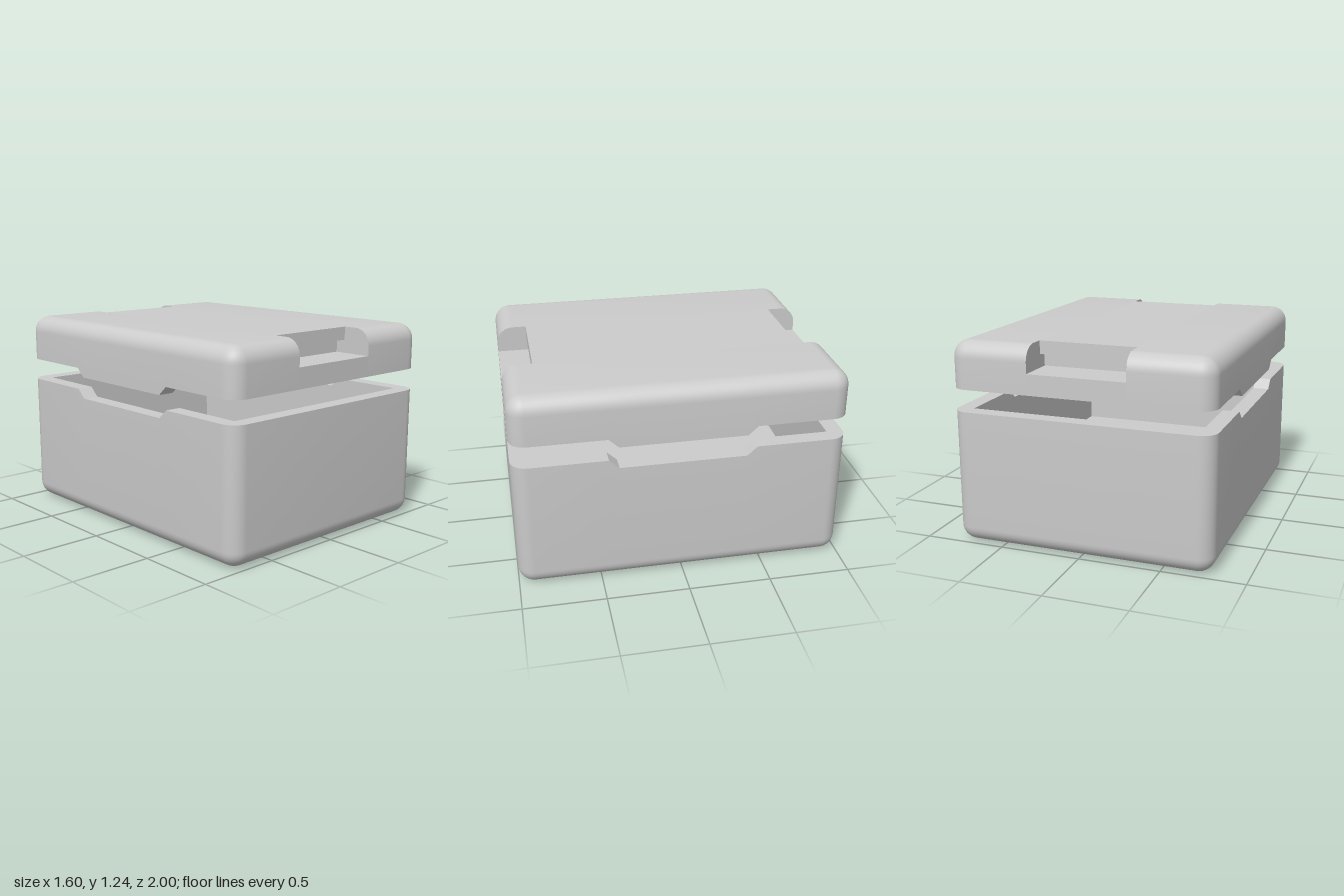
import * as THREE from 'three';
import { toCreasedNormals } from 'three/addons/utils/BufferGeometryUtils.js';

const R = 0.1, CX = 0.7, CZ = 0.9;      // edge radius (also wall thickness) and inner half sizes
const H = 1.24;                          // top of the lid
const NOTCH = 0.3;                       // half width of the latch notches
const material = new THREE.MeshStandardMaterial({ color: 0xcccccc });
const thin = new THREE.MeshStandardMaterial({ color: 0xcccccc, side: THREE.DoubleSide });

// Collects quads, skipping collapsed triangles
function quadBuilder() {
  const pos = [];
  const same = (a, b) => a.every((v, i) => Math.abs(v - b[i]) < 1e-6);
  const tri = (a, b, c) => {
    if (!same(a, b) && !same(b, c) && !same(a, c)) pos.push(...a, ...b, ...c);
  };
  return {
    quad(a, b, c, d, flip) {
      if (flip) [a, b, c, d] = [d, c, b, a];
      tri(a, b, c);
      tri(a, c, d);
    },
    mesh(name) {
      const g = new THREE.BufferGeometry();
      g.setAttribute('position', new THREE.Float32BufferAttribute(pos, 3));
      const m = new THREE.Mesh(toCreasedNormals(g, 0.5), material);
      m.name = name;
      return m;
    },
  };
}

// Half outline from x0 at the front, round the side, to x0 at the back: [x, z, nx, nz]
function halfOutline(x0) {
  const q = [[x0, CZ, 0, 1]];
  for (let i = 0; i <= 10; i++) {
    const a = (i / 10) * Math.PI / 2;
    q.push([CX, CZ, Math.sin(a), Math.cos(a)]);
  }
  q.push([CX, 0.44, 1, 0], [CX, 0.38, 1, 0]);
  return [...q, ...q.map(([x, z, nx, nz]) => [x, -z, nx, -nz]).reverse()];
}

// Open tray with rounded outer edges; rimMid is the rim height in the middle of the sides
function tray(name, { x0, rim, rimMid, floor, upsideDown }) {
  const b = quadBuilder();
  const outline = halfOutline(x0);
  const n = outline.length;
  const rimY = (z) => (Math.abs(z) < 0.4 ? rimMid : rim);
  for (const sx of [1, -1]) {
    const flip = (sx < 0) !== upsideDown;
    const ring = (offset, yAt) => outline.map(([x, z, nx, nz]) => {
      const y = yAt(z);
      return [sx * (x + nx * offset), upsideDown ? H - y : y, z + nz * offset];
    });
    const rings = [];
    for (let k = 0; k <= 10; k++) {
      const a = (k / 10) * Math.PI / 2;
      rings.push(ring(R * Math.sin(a), () => R * (1 - Math.cos(a))));
    }
    rings.push(ring(R, rimY), ring(0, rimY), ring(0, () => floor));
    for (let k = 0; k < rings.length - 1; k++) {
      for (let i = 0; i < n - 1; i++) {
        b.quad(rings[k][i], rings[k][i + 1], rings[k + 1][i + 1], rings[k + 1][i], flip);
      }
    }
    // outer and inner flat panels, joined front to back
    const cap = (p, f) => {
      for (let i = 0; i < n / 2 - 1; i++) b.quad(p[i], p[n - 1 - i], p[n - 2 - i], p[i + 1], f);
    };
    cap(rings[0], flip);
    cap(rings[rings.length - 1], !flip);
  }
  return b.mesh(name);
}

// Middle of the lid between the notch sides: a [z, y] section swept along x
function lidMiddle() {
  const section = [
    [0, H], [0.815, H], [0.815, 1.16], [0.755, 1.16], [0.755, 1.08],
    [1, 1.08], [1, 0.955], [CZ, 0.955], [CZ, 1.06], [0, 1.06],
  ];
  const b = quadBuilder();
  for (const sz of [1, -1]) {
    for (let i = 0; i < section.length - 1; i++) {
      const at = (x, [z, y]) => [x, y, sz * z];
      const p = section[i], q = section[i + 1];
      b.quad(at(-NOTCH, p), at(-NOTCH, q), at(NOTCH, q), at(NOTCH, p), sz < 0);
    }
  }
  return b.mesh('lidMiddle');
}

// Side walls of the undercut latch notches
function notchWalls() {
  const s = new THREE.Shape();
  s.moveTo(0.755, 1.08);
  s.lineTo(1, 1.08);
  s.lineTo(1, H - R);
  s.absarc(CZ, H - R, R, 0, Math.PI / 2, false);
  s.lineTo(0.815, H);
  s.lineTo(0.815, 1.16);
  s.lineTo(0.755, 1.16);
  const geometry = new THREE.ShapeGeometry(s, 10).rotateY(-Math.PI / 2);
  const group = new THREE.Group();
  group.name = 'notchWalls';
  for (const sx of [1, -1]) {
    for (const sz of [1, -1]) {
      const wall = new THREE.Mesh(geometry, thin);
      wall.name = 'notchWall';
      wall.position.x = sx * NOTCH;
      wall.scale.z = sz;
      group.add(wall);
    }
  }
  return group;
}

export function createModel() {
  const model = new THREE.Group();
  model.name = 'box';

  // Base with a shallow dip in each side of the rim
  model.add(tray('base', { x0: 0, rim: 0.82, rimMid: 0.765, floor: 0.3, upsideDown: false }));

  // Floating lid with matching side tabs and a latch notch front and back
  const lid = new THREE.Group();
  lid.name = 'lid';
  lid.add(
    tray('lidSides', { x0: NOTCH, rim: H - 0.955, rimMid: H - 0.9, floor: H - 1.06, upsideDown: true }),
    lidMiddle(),
    notchWalls(),
  );
  model.add(lid);
  return model;
}
